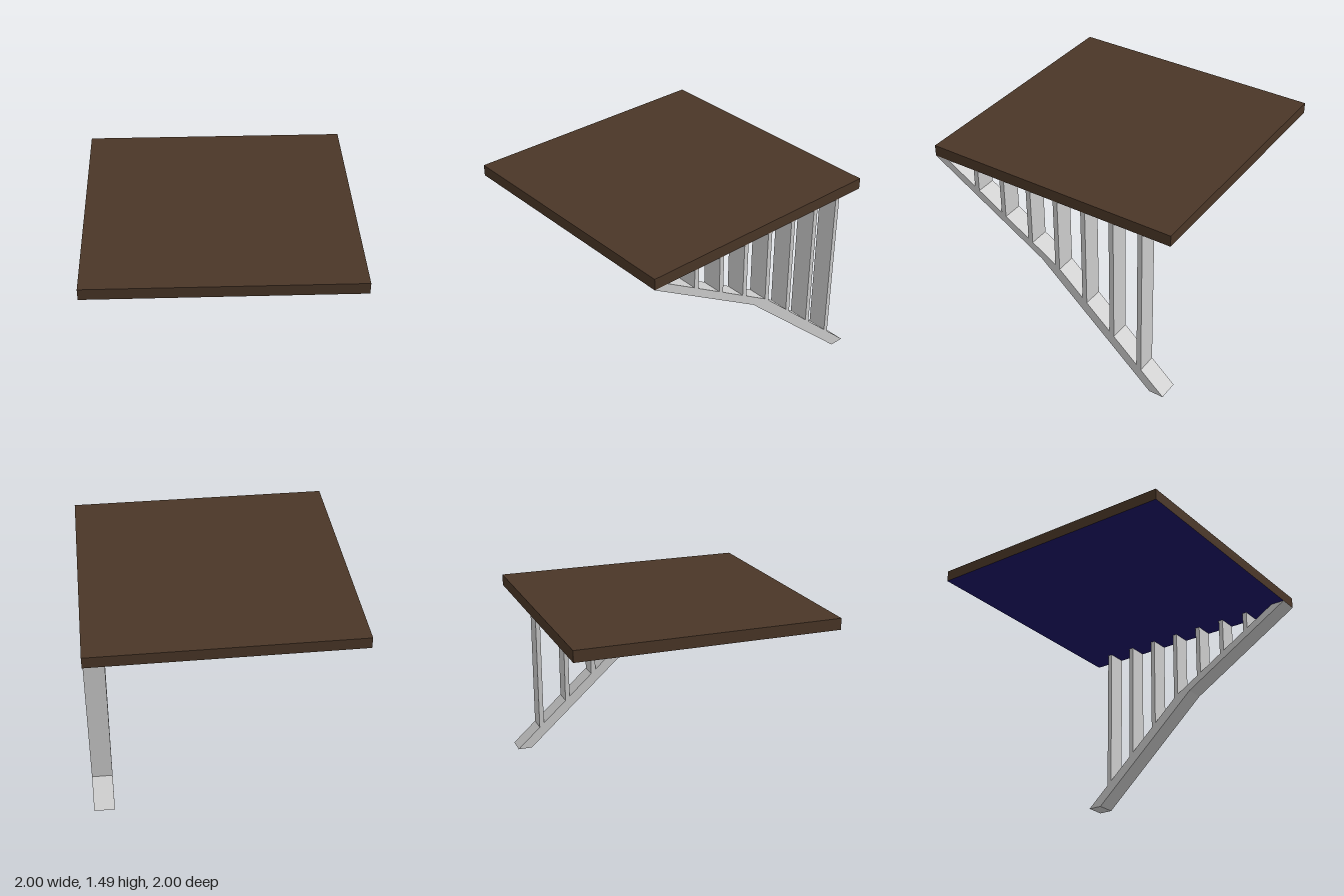
import * as THREE from 'three';

const WIDTH = 0.155, DECK_Y = 1.4, DECK_H = 0.087;

// Extrudes a (z, y) outline across x so it ends flush with the deck's left edge
function sidePanel(points, material, name) {
  const shape = new THREE.Shape(points.map(([z, y]) => new THREE.Vector2(-z, y)));
  const geo = new THREE.ExtrudeGeometry(shape, { depth: WIDTH, bevelEnabled: false });
  geo.rotateY(Math.PI / 2);
  geo.translate(1 - WIDTH, 0, 0);
  const mesh = new THREE.Mesh(geo, material);
  mesh.name = name;
  return mesh;
}

export function createModel() {
  const model = new THREE.Group();
  model.name = 'bracketedDeck';
  const grey = new THREE.MeshStandardMaterial({ color: 0xcccccc, flatShading: true });
  const brown = new THREE.MeshStandardMaterial({ color: 0x4a3627 });
  const navy = new THREE.MeshStandardMaterial({ color: 0x1c1466 });

  // Square deck slab with a dark blue underside
  const deck = new THREE.Mesh(
    new THREE.BoxGeometry(2, DECK_H, 2),
    [brown, brown, brown, navy, brown, brown]
  );
  deck.position.y = DECK_Y + DECK_H / 2;
  deck.name = 'deck';
  model.add(deck);

  // Bent diagonal brace under one side
  const upper = [[0.885, DECK_Y], [-0.065, 0.825], [-0.97, 0]];
  const lower = [[-0.855, 0], [0.07, 0.838], [1, DECK_Y]];
  const support = new THREE.Group();
  support.name = 'support';
  support.add(sidePanel([...upper, ...lower], grey, 'brace'));

  // Height of the brace's upper edge at a given z
  const braceTop = (z) => {
    const [a, b] = z > upper[1][0] ? [upper[0], upper[1]] : [upper[1], upper[2]];
    return THREE.MathUtils.mapLinear(z, a[0], b[0], a[1], b[1]);
  };

  // Seven upright slats from the brace to the deck
  for (let i = 0; i < 7; i++) {
    const z = 0.63 - i * 0.232, h = 0.0185;
    support.add(sidePanel([
      [z + h, DECK_Y], [z + h, braceTop(z + h)],
      [z - h, braceTop(z - h)], [z - h, DECK_Y],
    ], grey, `slat${i + 1}`));
  }
  model.add(support);
  return model;
}
